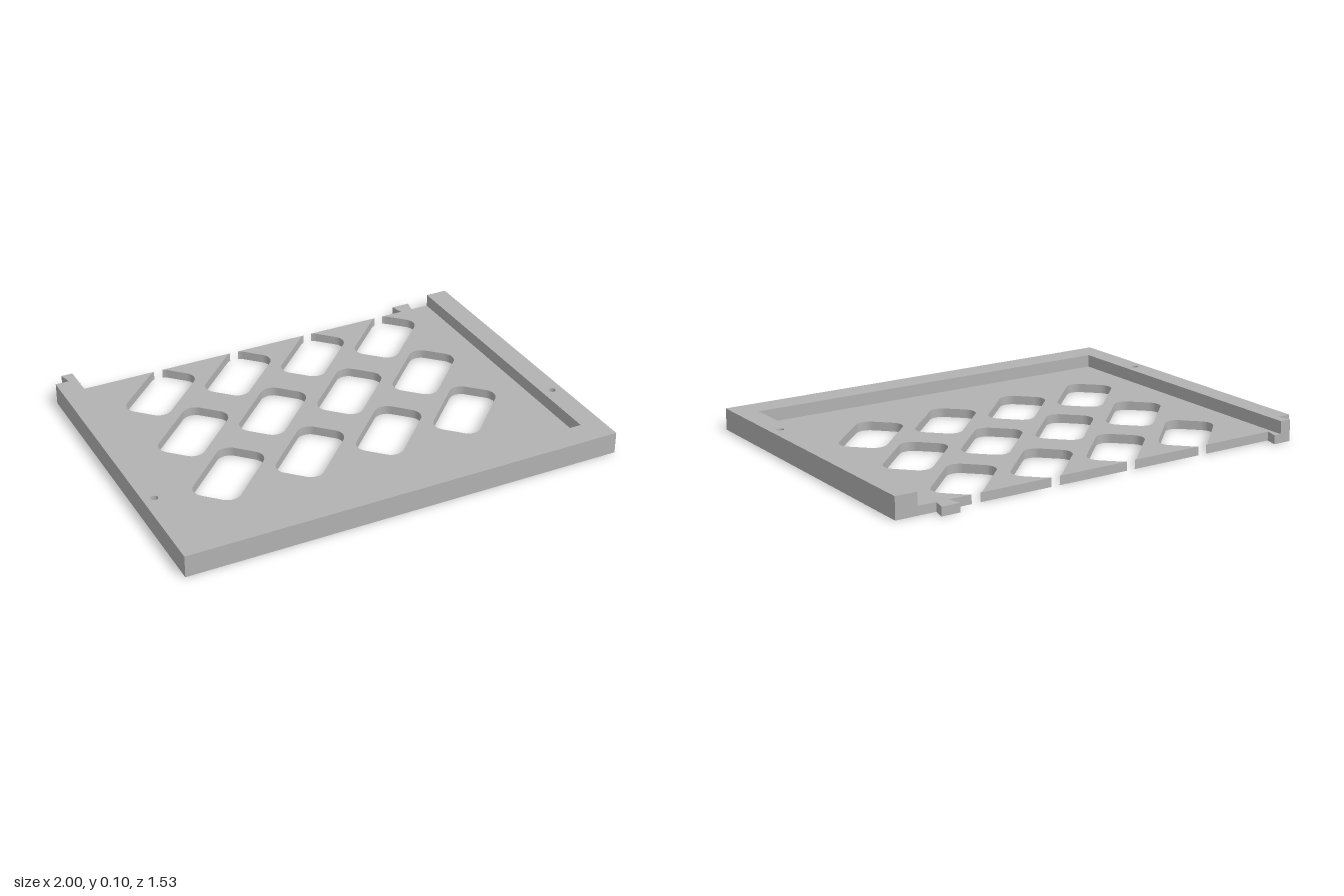
import * as THREE from 'three';

const FLOOR = 0.04, TOP = 0.098;            // heights of floor and rim
const BACK = -0.704, FRONT = 0.763, TAB = -0.763;
const INNER_X = 0.9, INNER_Z = 0.64;        // inside edges of the rim
const SLOT = { l: 0.269, w: 0.095, r: 0.058 }; // corner-centre spacing and radius

const toPoints = list => list.map(([x, z]) => new THREE.Vector2(x, -z));

// Vertical extrusion of a plan-view shape between two heights
function slab(name, shape, y0, y1, material) {
  const geo = new THREE.ExtrudeGeometry(shape, { depth: y1 - y0, bevelEnabled: false, curveSegments: 24 });
  geo.rotateX(-Math.PI / 2).translate(0, y0, 0);
  const mesh = new THREE.Mesh(geo, material);
  mesh.name = name;
  return mesh;
}

// Rounded diagonal slot, clockwise from its topmost point
function slotPoints(cx, cy) {
  const pts = [], n = 12, { l, w, r } = SLOT;
  [[1, 1], [1, -1], [-1, -1], [-1, 1]].forEach(([su, sv], q) => {
    for (let i = 0; i <= n; i++) {
      const a = Math.PI / 2 * (1 - q - i / n);
      pts.push(new THREE.Vector2(su * l / 2 + r * Math.cos(a), sv * w / 2 + r * Math.sin(a)));
    }
  });
  const center = new THREE.Vector2();
  pts.forEach(p => p.rotateAround(center, Math.PI / 4).add(new THREE.Vector2(cx, cy)));
  return [...pts.slice(n / 2), ...pts.slice(0, n / 2)];
}

// Floor plate: the rear row of slots breaks through the back edge
function floorShape() {
  const edge = -BACK, outline = toPoints([[-1, FRONT], [1, FRONT], [1, BACK]]);
  const holes = [];
  for (let col = 3; col >= 0; col--) {
    const cx = -0.572 + col * 0.381;
    for (let row = 0; row < 3; row++) {
      const cy = 0.521 - row * 0.372;
      const pts = slotPoints(cx, cy);
      if (row > 0) { holes.push(new THREE.Path(pts)); continue; }
      const topX = pts[0].x, rise = edge - (pts[0].y - SLOT.r);
      const gap = Math.sqrt(SLOT.r ** 2 - rise ** 2);
      outline.push(new THREE.Vector2(topX + gap, edge),
        ...pts.filter(p => p.y < edge - 1e-4),
        new THREE.Vector2(topX - gap, edge));
    }
  }
  outline.push(new THREE.Vector2(-1, edge));
  const shape = new THREE.Shape(outline);
  shape.holes = holes;
  return shape;
}

// U-shaped rim with a blind pin hole in each arm
function rimShape() {
  const shape = new THREE.Shape(toPoints([
    [-1, FRONT], [1, FRONT], [1, BACK], [INNER_X, BACK],
    [INNER_X, INNER_Z], [-INNER_X, INNER_Z], [-INNER_X, BACK], [-1, BACK],
  ]));
  for (const x of [-0.95, 0.95]) {
    shape.holes.push(new THREE.Path().absarc(x, -0.335, 0.016, 0, Math.PI * 2));
  }
  return shape;
}

// Dovetail tab flaring out from the back edge
const tabShape = cx => new THREE.Shape(toPoints([
  [cx - 0.029, BACK], [cx + 0.029, BACK], [cx + 0.043, TAB], [cx - 0.043, TAB],
]));

export function createModel() {
  const grey = new THREE.MeshStandardMaterial({ color: 0xb2b2b2 });
  grey.name = 'grey';

  const model = new THREE.Group();
  model.name = 'slottedTray';
  model.add(
    slab('slottedFloor', floorShape(), 0, FLOOR, grey),
    slab('rim', rimShape(), FLOOR, TOP, grey),
    slab('leftTab', tabShape(0.786), 0, FLOOR, grey),
    slab('rightTab', tabShape(-0.909), 0, FLOOR, grey),
  );

  // Only the part of the right tab behind the rim reaches full height
  const raised = new THREE.Shape(toPoints([
    [-0.938, BACK], [-INNER_X, BACK], [-INNER_X, TAB], [-0.952, TAB],
  ]));
  model.add(slab('rightTabRaisedHalf', raised, FLOOR, TOP, grey));
  return model;
}
